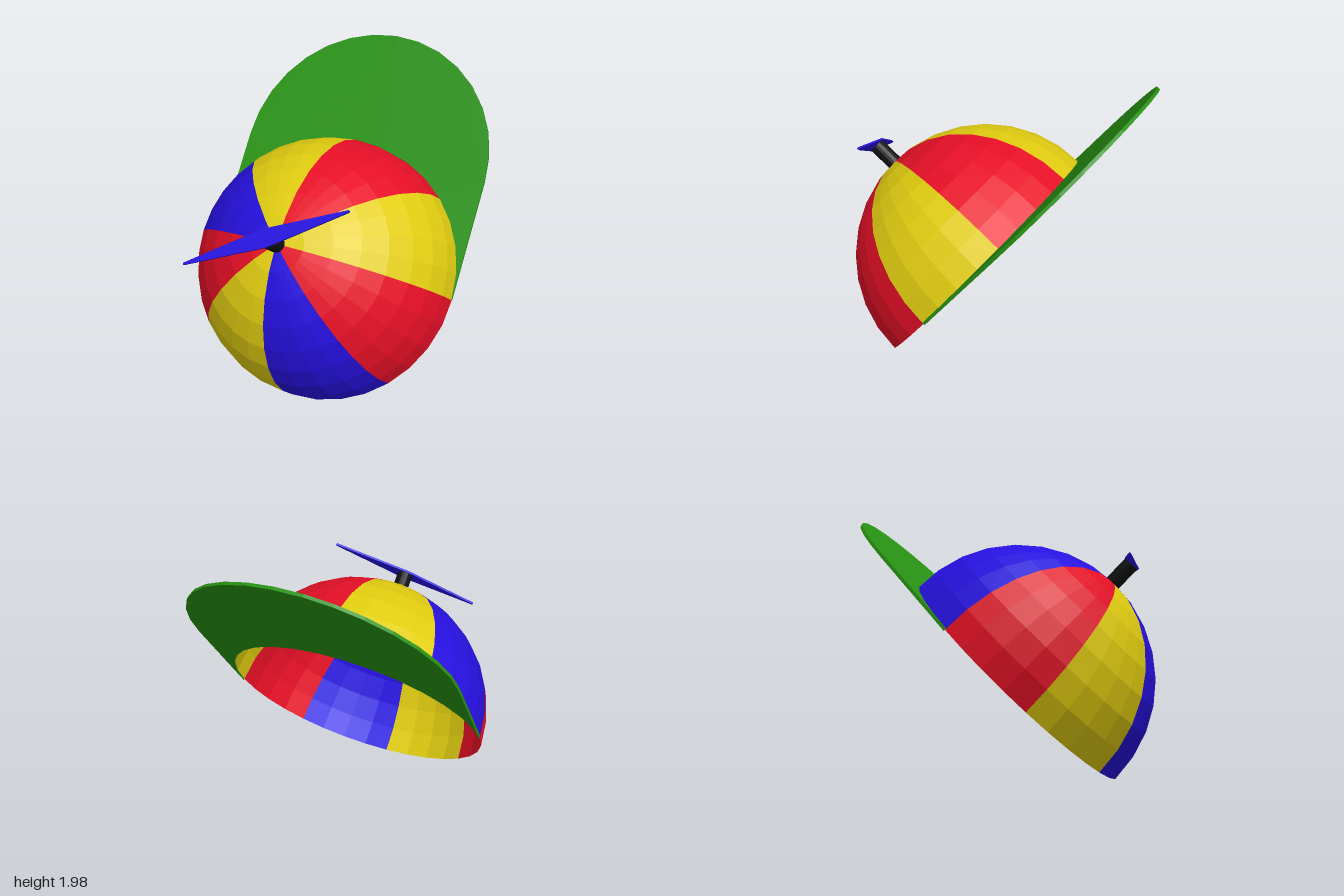
import * as THREE from 'three';

const R = 0.867;      // dome radius
const REACH = 0.78;   // how far the bill's round end sits behind the dome

const mat = (name, color, side = THREE.FrontSide) =>
  new THREE.MeshStandardMaterial({ name, color, side });

// Facet a geometry so every face is flat
function faceted(geometry) {
  const g = geometry.index ? geometry.toNonIndexed() : geometry;
  g.computeVertexNormals();
  return g;
}

function part(name, geometry, material) {
  const mesh = new THREE.Mesh(faceted(geometry), material);
  mesh.name = name;
  return mesh;
}

export function createModel() {
  const red = mat('red', 0xe60f26, THREE.DoubleSide);
  const yellow = mat('yellow', 0xe0cc10, THREE.DoubleSide);
  const blue = mat('blue', 0x2610e0, THREE.DoubleSide);
  const green = mat('green', 0x279212);
  const black = mat('black', 0x111111);

  const cap = new THREE.Group();
  cap.name = 'propellerCap';

  // Dome: eight open wedges, counted from the front towards the left
  const dome = new THREE.Group();
  dome.name = 'dome';
  [blue, red, yellow, red, yellow, blue, red, yellow].forEach((m, i) => {
    const wedge = new THREE.SphereGeometry(R, 4, 8,
      Math.PI / 2 + i * Math.PI / 4, Math.PI / 4, 0, Math.PI / 2);
    dome.add(part('panel' + (i + 1), wedge, m));
  });
  cap.add(dome);

  // Bill: flat crescent between the rim and the same arc moved backwards
  const outline = [];
  for (let i = 0; i <= 16; i++) {
    const a = i * Math.PI / 16;
    outline.push(new THREE.Vector2(R * Math.cos(a), REACH + R * Math.sin(a)));
  }
  for (let i = 16; i >= 0; i--) {
    const a = i * Math.PI / 16;
    outline.push(new THREE.Vector2(R * Math.cos(a), R * Math.sin(a)));
  }
  const billGeo = new THREE.ExtrudeGeometry(new THREE.Shape(outline),
    { depth: 0.02, bevelEnabled: false });
  billGeo.translate(0, 0, -0.01).rotateX(-Math.PI / 2);
  cap.add(part('bill', billGeo, green));

  // Hub: short post through the crown
  const hub = part('hub', new THREE.CylinderGeometry(0.052, 0.052, 0.2, 16), black);
  hub.position.y = 0.93;
  cap.add(hub);

  // Propeller: thin diamond blade with blunt tips
  const blade = new THREE.Shape([
    [0.527, -0.006], [0.527, 0.006], [0, 0.056],
    [-0.527, 0.006], [-0.527, -0.006], [0, -0.056],
  ].map(([x, y]) => new THREE.Vector2(x, y)));
  const bladeGeo = new THREE.ExtrudeGeometry(blade, { depth: 0.014, bevelEnabled: false });
  bladeGeo.translate(0, 0, -0.007).rotateX(-Math.PI / 2).rotateY(Math.PI / 6);
  const propeller = part('propeller', bladeGeo, blue);
  propeller.position.y = 1.034;
  cap.add(propeller);

  // Tip the cap forward so it rests on the front rim
  cap.rotation.x = THREE.MathUtils.degToRad(51.8);
  cap.position.set(0, 0.682, 0.022);

  const model = new THREE.Group();
  model.name = 'cap';
  model.add(cap);
  return model;
}
